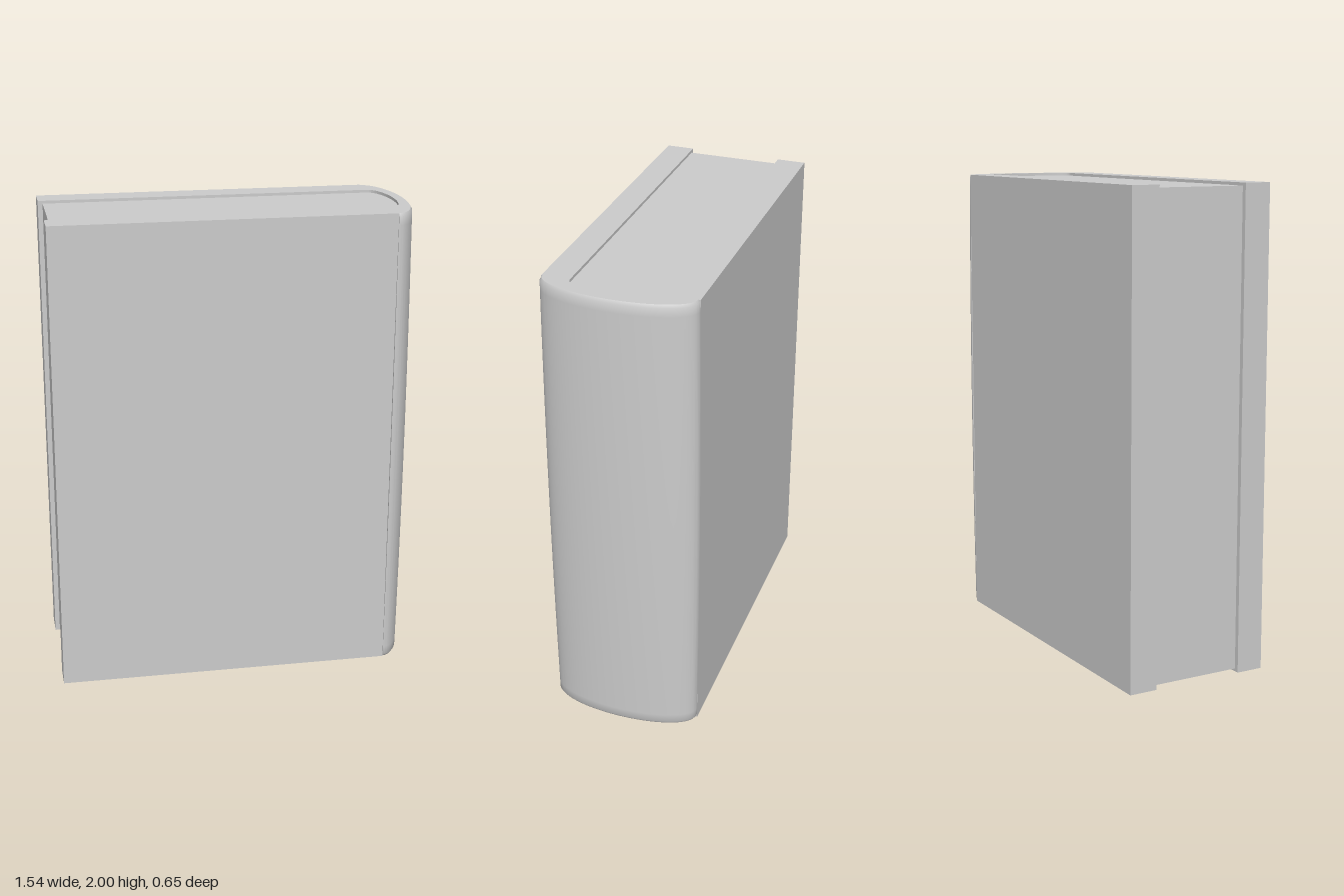
import * as THREE from 'three';
import { toCreasedNormals } from 'three/addons/utils/BufferGeometryUtils.js';

const HEIGHT = 2;
const EDGE = 0.65; // x where the rounded back begins

const material = new THREE.MeshStandardMaterial({ color: 0xcccccc });

function addPart(group, name, geometry) {
  const mesh = new THREE.Mesh(geometry, material);
  mesh.name = name;
  group.add(mesh);
  return mesh;
}

// Extrudes an outline drawn in (x, -z) upwards from y = bottom
function extrudeUp(shape, bottom, height, steps = 1) {
  const geometry = new THREE.ExtrudeGeometry(shape, {
    depth: height, steps, curveSegments: 32, bevelEnabled: false,
  });
  return geometry.rotateX(-Math.PI / 2).translate(0, bottom, 0);
}

// Page block with a rounded end nested inside the spine
function pagesGeometry() {
  const shape = new THREE.Shape();
  shape.moveTo(-0.75, -0.197);
  shape.lineTo(EDGE, -0.197);
  shape.absellipse(EDGE, 0, 0.065, 0.197, -Math.PI / 2, Math.PI / 2, false);
  shape.lineTo(-0.75, 0.197);
  shape.closePath();
  return toCreasedNormals(extrudeUp(shape, 0.012, HEIGHT - 0.024), 0.6);
}

// Crescent spine, swelling slightly at mid height, with softened ends
function spineGeometry() {
  const shape = new THREE.Shape();
  shape.moveTo(EDGE, -0.323);
  shape.absellipse(EDGE, 0, 0.12, 0.323, -Math.PI / 2, Math.PI / 2, false);
  shape.lineTo(EDGE, 0.197);
  shape.absellipse(EDGE, 0, 0.065, 0.197, Math.PI / 2, -Math.PI / 2, true);
  shape.closePath();

  const geometry = extrudeUp(shape, 0, HEIGHT, 20);
  const p = geometry.attributes.position;
  for (let i = 0; i < p.count; i++) {
    const x = p.getX(i), z = p.getZ(i);
    // crowd the rows towards both ends
    const y = 1 - Math.cos((Math.PI * p.getY(i)) / HEIGHT);
    p.setY(i, y);
    const outer = Math.hypot((x - EDGE) / 0.12, z / 0.323) > 0.97;
    if (!outer) continue;
    const endGap = Math.min(y, HEIGHT - y);
    const inset = 0.007 * (y - 1) ** 2 + (endGap < 0.005 ? 0.008 : 0);
    p.setX(i, EDGE + (x - EDGE) * (1 - inset / 0.12));
    p.setZ(i, z * (1 - inset / 0.323));
  }
  return toCreasedNormals(geometry, 0.6);
}

export function createModel() {
  const book = new THREE.Group();
  book.name = 'book';

  // Thick cover boards: [name, back z, front z]
  for (const [name, z0, z1] of [['frontCover', 0.197, 0.313], ['backCover', -0.318, -0.197]]) {
    const cover = addPart(book, name, new THREE.BoxGeometry(EDGE + 0.77, HEIGHT, z1 - z0));
    cover.position.set((EDGE - 0.77) / 2, HEIGHT / 2, (z0 + z1) / 2);
  }

  addPart(book, 'pages', pagesGeometry());
  addPart(book, 'spine', spineGeometry());
  return book;
}
